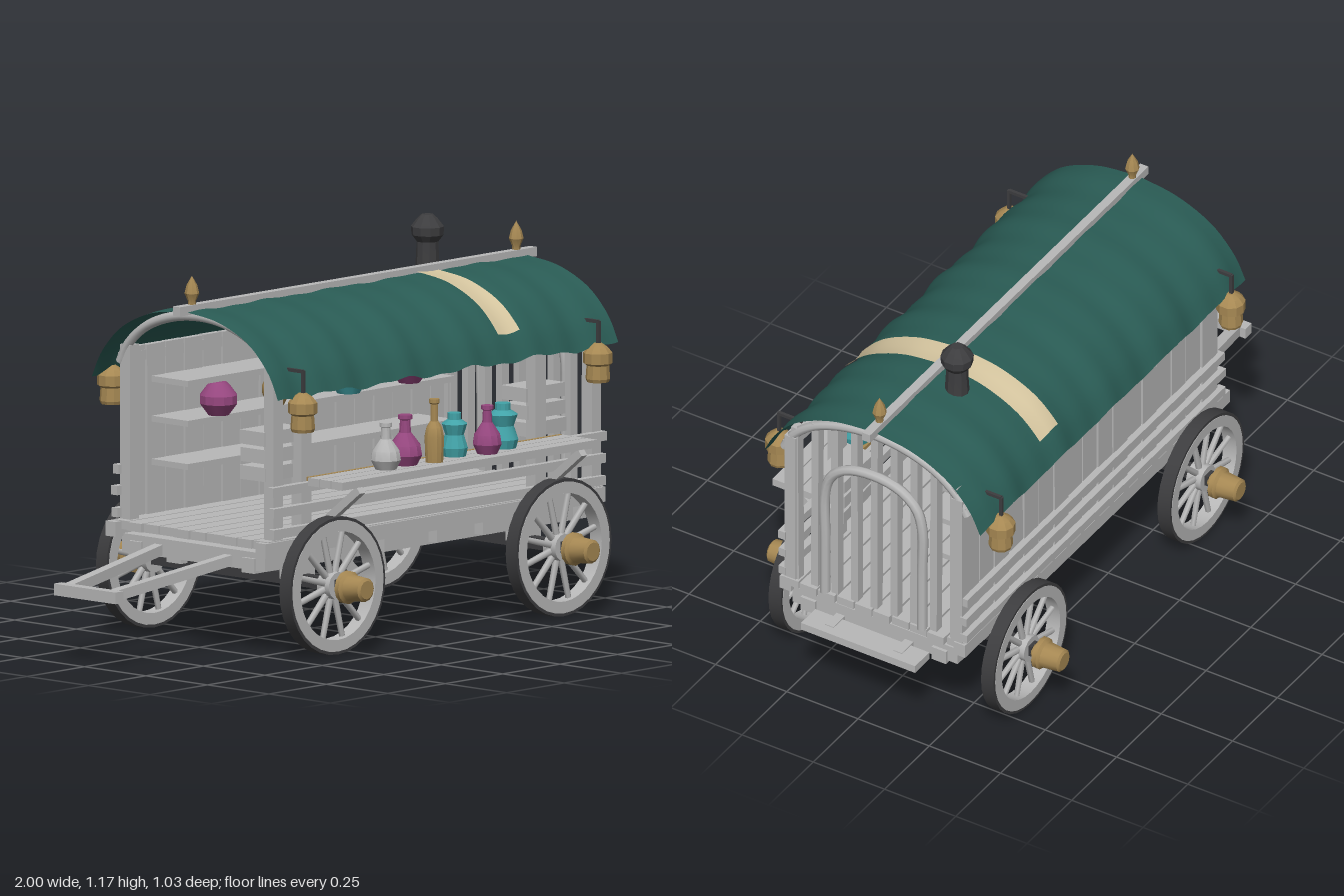
import * as THREE from 'three';
import { toCreasedNormals } from 'three/addons/utils/BufferGeometryUtils.js';

const make = (color, name, side = THREE.FrontSide) => {
  const m = new THREE.MeshStandardMaterial({ color, side });
  m.name = name;
  return m;
};

export function createModel() {
  const wood = make(0xb8b8b8, 'pale wood'), dark = make(0x3d3d3f, 'dark iron');
  const cloth = make(0x2a5c55, 'green canvas', THREE.DoubleSide);
  const tan = make(0xd6c6a0, 'tan canvas', THREE.DoubleSide);
  const brass = make(0xa68853, 'brass'), plum = make(0x96477f, 'plum glass'), teal = make(0x42a3a8, 'teal glass');
  const root = new THREE.Group();
  let seed = 7;
  const jitter = (a) => { seed = (seed * 16807) % 2147483647; return (seed / 2147483647 - 0.5) * 2 * a; };

  const add = (name, geo, mat, x = 0, y = 0, z = 0, parent = root) => {
    const m = new THREE.Mesh(geo, mat);
    m.name = name;
    m.position.set(x, y, z);
    parent.add(m);
    return m;
  };
  const box = (name, w, h, d, x, y, z, mat = wood, parent = root) =>
    add(name, new THREE.BoxGeometry(w, h, d), mat, x, y, z, parent);
  const lathe = (pts, sides = 12, crease = 0.6) => toCreasedNormals(
    new THREE.LatheGeometry(pts.map(([r, y]) => new THREE.Vector2(r, y)), sides), crease);
  const v = (x, y, z) => new THREE.Vector3(x, y, z);
  // square beam between two points
  const beam = (name, a, b, w, h, mat = wood) => {
    const m = box(name, w, h, a.distanceTo(b), 0, 0, 0, mat);
    m.position.copy(a).add(b).multiplyScalar(0.5);
    m.lookAt(b);
    return m;
  };
  const tube = (name, pts, r, mat = wood, seg = 24, sides = 8) =>
    add(name, new THREE.TubeGeometry(new THREE.CatmullRomCurve3(pts), seg, r, sides), mat);

  // wheels, axles and brass hub caps
  const ring = (r0, r1, h) => lathe([[r0, -h], [r1, -h], [r1, h], [r0, h], [r0, -h]], 32);
  const tireGeo = ring(0.188, 0.207, 0.022), rimGeo = ring(0.163, 0.198, 0.0235);
  const spokeGeo = new THREE.CylinderGeometry(0.009, 0.011, 0.15, 6);
  const capGeo = lathe([[0, 0.035], [0.02, 0.035], [0.022, 0.05], [0.05, 0.055], [0.05, 0.07],
    [0.041, 0.078], [0.036, 0.135], [0.028, 0.141], [0, 0.141]], 12);
  for (const x of [-0.32, 0.665]) {
    box('axle', 0.035, 0.035, 0.82, x, 0.21, 0, dark);
    for (const s of [-1, 1]) {
      const wheel = new THREE.Group();
      wheel.name = 'wheel';
      wheel.position.set(x, 0.207, s * 0.373);
      if (s < 0) wheel.rotation.y = Math.PI;
      root.add(wheel);
      const turned = (name, geo, mat) => { add(name, geo, mat, 0, 0, 0, wheel).rotation.x = Math.PI / 2; };
      turned('tire', tireGeo, dark);
      turned('rim', rimGeo, wood);
      turned('hub', new THREE.CylinderGeometry(0.042, 0.042, 0.05, 14), wood);
      turned('hubCap', capGeo, brass);
      for (let i = 0; i < 12; i++) {
        const a = (i + 0.5) * Math.PI / 6;
        add('spoke', spokeGeo, wood, -Math.sin(a) * 0.1, Math.cos(a) * 0.1, 0, wheel).rotation.z = a;
      }
      box('axleBlock', 0.09, 0.085, 0.06, x, 0.255, s * 0.23);
    }
  }

  // chassis, floor, step and draw shafts
  for (const s of [-1, 1]) {
    box('sill', 1.45, 0.045, 0.05, 0.19, 0.275, s * 0.23);
    box('sideBeam', 1.48, 0.045, 0.04, 0.18, 0.33, s * 0.305);
    beam('shaft', v(-0.5, 0.285, s * 0.145), v(-0.985, 0.218, s * 0.088), 0.032, 0.032);
  }
  for (const x of [-0.5, -0.18, 0.02, 0.25, 0.45, 0.88]) box('crossBeam', 0.05, 0.055, 0.58, x, 0.288, 0);
  for (let i = 0; i < 10; i++)
    box('floorBoard', 1.46 + jitter(0.012), 0.026, 0.058, 0.19, 0.342, -0.288 + i * 0.064);
  box('shaftBar', 0.035, 0.035, 0.25, -0.982, 0.219, 0);
  box('step', 0.08, 0.025, 0.4, 0.96, 0.265, 0);
  for (const z of [-0.12, 0.12]) box('stepArm', 0.14, 0.025, 0.03, 0.9, 0.268, z);

  // corner posts, side rails and eave rails
  for (const s of [-1, 1]) {
    for (const x of [-0.49, 0.895]) box('cornerPost', 0.04, 0.54, 0.04, x, 0.61, s * 0.292);
    for (const y of [0.375, 0.44, 0.505])
      box('sideRail', 1.44 + jitter(0.015), 0.028, 0.024, 0.195, y, s * 0.318).rotation.z = jitter(0.003);
    box('eaveRail', 1.42, 0.03, 0.03, 0.2, 0.84, s * 0.305);
  }
  for (const x of [-0.365, 0.655]) box('windowPost', 0.045, 0.5, 0.04, x, 0.6, 0.29);

  // rear plank wall
  for (let i = 0; i < 17; i++)
    box('wallPlank', 0.077, 0.51, 0.022, -0.463 + i * 0.0825, 0.615, -0.3 + jitter(0.003)).rotation.z = jitter(0.008);

  // slatted end wall with arched door frame
  for (let i = -4; i <= 4; i++) {
    const z = i * 0.0695, top = 0.83 + 0.165 * Math.sqrt(1 - (z / 0.325) ** 2);
    box('endSlat', 0.03, top - 0.35, 0.024, 0.895, (top + 0.35) / 2, z).rotation.x = jitter(0.008);
  }
  tube('doorFrame', [[0.17, 0.35], [0.17, 0.55], [0.17, 0.72], [0.148, 0.79], [0.09, 0.836], [0, 0.852],
    [-0.09, 0.836], [-0.148, 0.79], [-0.17, 0.72], [-0.17, 0.55], [-0.17, 0.35]].map(([z, y]) => v(0.912, y, z)), 0.016, wood, 48);

  // roof bows and ridge pole
  const bow = [[0.32, 0.825], [0.29, 0.88], [0.22, 0.94], [0.12, 0.98], [0, 0.995]];
  const bowAll = [...bow, ...bow.slice(0, 4).reverse().map(([z, y]) => [-z, y])];
  for (const x of [-0.5, -0.03, 0.44, 0.9]) tube('roofBow', bowAll.map(([z, y]) => v(x, y, z)), 0.015, wood, 32);
  box('ridgePole', 1.555, 0.028, 0.028, 0.178, 1.022, 0);

  // canvas roof lofted along an arched section with a wavy hem
  const half = [[0, 1.018], [0.14, 0.998], [0.26, 0.945], [0.325, 0.885], [0.352, 0.848], [0.38, 0.79]];
  const section = new THREE.CatmullRomCurve3(half.map(([z, y]) => v(0, y, z)));
  const canvas = (name, mat, x0, x1, reach, lift) => {
    const geo = new THREE.PlaneGeometry(1, 1, Math.ceil((x1 - x0) * 40), 36), p = geo.attributes.position;
    for (let i = 0; i < p.count; i++) {
      const x = x0 + (p.getX(i) + 0.5) * (x1 - x0), t = -p.getY(i) * 2 * reach, a = Math.abs(t);
      const q = section.getPointAt(Math.min(a, 1));
      const wave = 0.004 * Math.sin(x * 21 + t * 2) + 0.003 * Math.sin(x * 47 + t);
      p.setXYZ(i, x, q.y + lift + wave * (0.5 + a * a), Math.sign(t) * (q.z + lift * a + wave * a * 0.7));
    }
    geo.computeVertexNormals();
    return add(name, geo, mat);
  };
  canvas('roofCanvas', cloth, -0.565, 0.915, 1, 0);
  canvas('roofStripe', tan, 0.435, 0.527, 0.815, 0.004);

  // ridge finials and chimney
  const finial = lathe([[0, 0], [0.012, 0], [0.012, 0.012], [0.022, 0.035], [0.016, 0.06], [0, 0.088]], 8, 0.4);
  for (const x of [-0.532, 0.88]) add('finial', finial, brass, x, 1.034, 0);
  add('chimney', lathe([[0, 0.96], [0.04, 0.96], [0.034, 1.05], [0.033, 1.085], [0.048, 1.105], [0.05, 1.13],
    [0.03, 1.155], [0.018, 1.166], [0, 1.166]], 10, 0.4), dark, 0.59, 0, -0.09);

  // hanging lanterns on iron hooks
  const lantern = lathe([[0, 0], [0.033, 0], [0.037, 0.01], [0.034, 0.05], [0.044, 0.057], [0.044, 0.088],
    [0.03, 0.105], [0.012, 0.117], [0, 0.117]], 10, 0.4);
  for (const x of [-0.465, 0.82]) for (const s of [-1, 1]) {
    add('lantern', lantern, brass, x, 0.687, s * 0.388);
    beam('hookArm', v(x, 0.868, s * 0.31), v(x, 0.868, s * 0.39), 0.01, 0.01, dark);
    box('hookDrop', 0.01, 0.075, 0.01, x, 0.833, s * 0.39, dark);
  }

  // serving counter, trim and braces
  for (const z of [0.352, 0.4, 0.448]) box('counterBoard', 1.11, 0.024, 0.044, 0.175, 0.52, z);
  box('counterTrim', 1.1, 0.012, 0.012, 0.175, 0.527, 0.325, brass);
  for (const x of [-0.305, 0.66]) beam('counterBrace', v(x, 0.503, 0.475), v(x, 0.385, 0.325), 0.025, 0.025);

  // inner shelves and stacked planks
  for (const y of [0.515, 0.645, 0.765]) box('shelf', 1.16, 0.018, 0.15, 0.18, y, -0.215);
  for (const x of [-0.43, 0.715]) for (let i = 0; i < 3; i++)
    box('stackedPlank', 0.17, 0.042, 0.1, x + jitter(0.012), 0.55 + i * 0.053, 0.228).rotation.y = jitter(0.06);

  // bottles: profiles scaled by radius and height
  const shapes = {
    flask: [[0, 0], [0.7, 0], [1, 0.2], [0.9, 0.4], [0.35, 0.65], [0.3, 0.9], [0.42, 0.92], [0.42, 1], [0, 1]],
    tall: [[0, 0], [0.9, 0], [1, 0.4], [0.8, 0.55], [0.4, 0.65], [0.4, 0.92], [0.55, 0.94], [0.55, 1], [0, 1]],
    waisted: [[0, 0], [0.85, 0], [1, 0.2], [0.7, 0.5], [0.95, 0.75], [0.5, 0.85], [0.5, 1], [0, 1]],
    round: [[0, 0], [0.55, 0], [1, 0.35], [1, 0.6], [0.6, 0.9], [0.4, 1], [0, 1]],
  };
  const bottles = [
    ['flask', wood, -0.1, 0.532, 0.385, 0.046, 0.14], ['flask', plum, 0, 0.532, 0.37, 0.052, 0.15],
    ['tall', brass, 0.095, 0.532, 0.4, 0.03, 0.19], ['waisted', teal, 0.22, 0.532, 0.365, 0.041, 0.13],
    ['flask', plum, 0.32, 0.532, 0.405, 0.044, 0.145], ['waisted', teal, 0.43, 0.532, 0.365, 0.048, 0.135],
    ['round', plum, -0.25, 0.654, -0.155, 0.057, 0.1], ['round', brass, 0, 0.654, -0.155, 0.042, 0.1],
    ['flask', teal, 0.315, 0.654, -0.155, 0.05, 0.14], ['round', plum, 0.58, 0.654, -0.155, 0.057, 0.1],
  ];
  for (const [shape, mat, x, y, z, r, h] of bottles)
    add('bottle', lathe(shapes[shape].map(([a, b]) => [a * r, b * h]), 12, 0.5), mat, x, y, z);

  return root;
}
